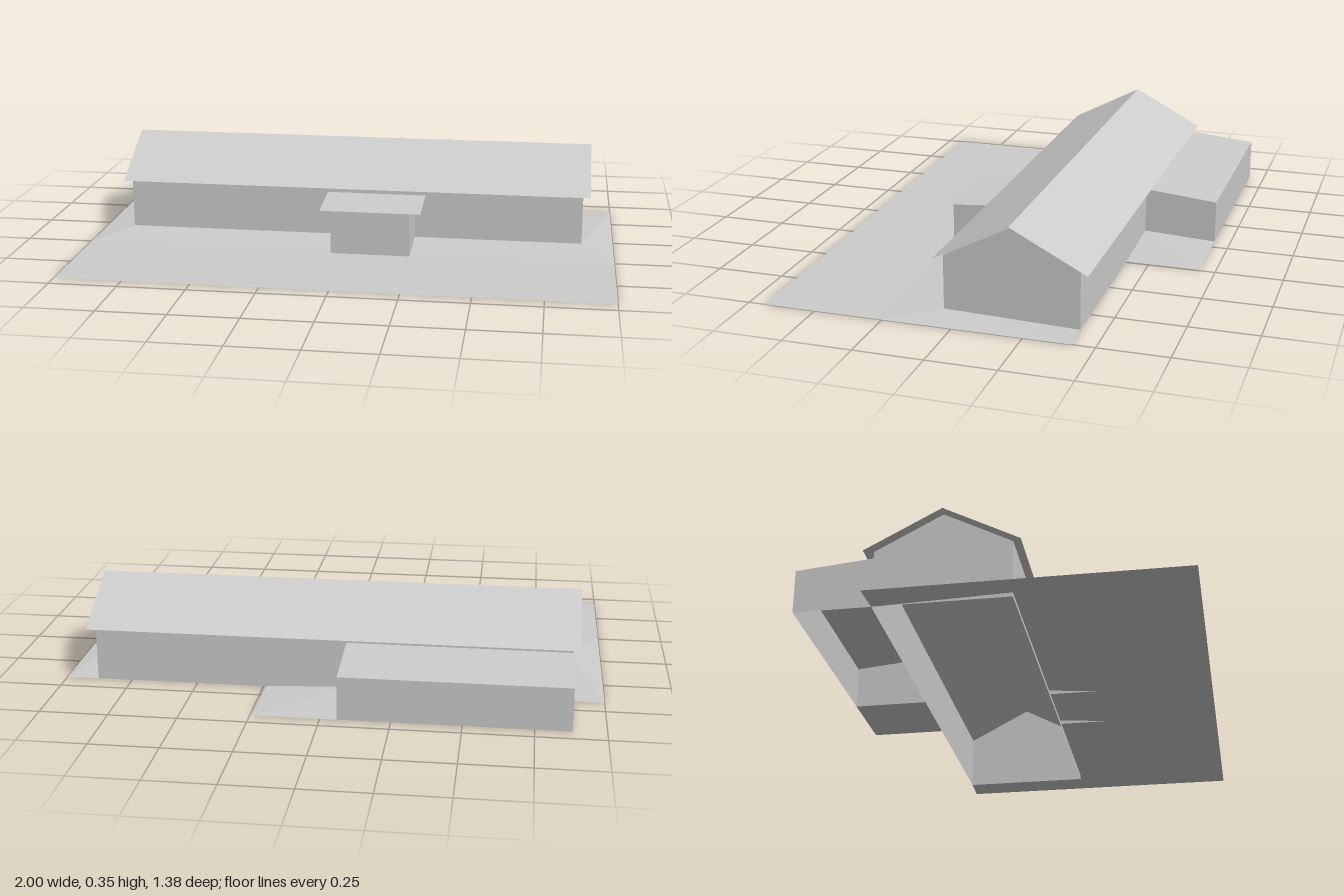
import * as THREE from 'three';

const stone = new THREE.MeshStandardMaterial({ color: 0xcccccc, side: THREE.DoubleSide });
stone.name = 'pale grey';

// Flat mesh from convex faces, each a list of [x, y, z] corners in counter-clockwise order
function faces(name, polygons) {
  const pos = [];
  for (const p of polygons)
    for (let i = 1; i < p.length - 1; i++) pos.push(...p[0], ...p[i], ...p[i + 1]);
  const geo = new THREE.BufferGeometry();
  geo.setAttribute('position', new THREE.Float32BufferAttribute(pos, 3));
  geo.computeVertexNormals();
  const mesh = new THREE.Mesh(geo, stone);
  mesh.name = name;
  return mesh;
}

// Upright wall facing away from the line's left, running from a to b at base y = 0
const wall = (ax, az, bx, bz, ha, hb = ha) =>
  [[ax, 0, az], [bx, 0, bz], [bx, hb, bz], [ax, ha, az]];

// Rectangular sheet sloping from (z0, y0) at the front to (z1, y1) at the back
const slope = (x0, x1, z0, y0, z1, y1) =>
  [[x0, y0, z0], [x1, y0, z0], [x1, y1, z1], [x0, y1, z1]];

export function createModel() {
  const model = new THREE.Group();
  model.name = 'longHouse';

  const W = 0.88, front = 0.07, back = -0.415, ridge = -0.173;
  const eave = 0.211, rise = 0.015;

  // Open-bottomed main building with gabled ends
  const gable = (x) => [[x, 0, front], [x, 0, back], [x, eave, back], [x, 0.338, ridge], [x, eave, front]];
  model.add(faces('mainWalls', [
    wall(-W, front, W, front, eave),
    wall(W, back, -W, back, eave),
    gable(W),
    gable(-W).reverse(),
  ]));

  // Thin overhanging roof
  model.add(faces('mainRoof', [
    slope(-0.907, 0.907, 0.1, 0.205, ridge, 0.348),
    slope(-0.907, 0.907, ridge, 0.348, -0.447, 0.205),
  ]));

  // Rear annex with a lean-to roof
  const aL = -W, aR = -0.06, rear = -0.69;
  model.add(faces('annexWalls', [
    wall(aR, back, aR, rear, 0.186, 0.16),
    wall(aR, rear, aL, rear, 0.16),
    wall(aL, rear, aL, back, 0.16, 0.186),
  ]));
  model.add(faces('annexRoof', [slope(aL, aR, back, 0.186, rear, 0.16)]));

  // Entrance porch and its canopy
  const pL = -0.06, pR = 0.24, pF = 0.27;
  model.add(faces('porchWalls', [
    wall(pL, pF, pR, pF, 0.166),
    wall(pR, pF, pR, front, 0.166),
    wall(pL, front, pL, pF, 0.166),
  ]));
  model.add(faces('porchCanopy', [slope(-0.1, 0.28, 0.277, 0.167, front, 0.183)]));

  // Terrace beside the annex, falling away from its inner corner
  model.add(faces('terrace', [
    [[aR, rise, back], [pR, 0, back], [pR, 0, rear]],
    [[aR, rise, back], [pR, 0, rear], [aR, 0, rear]],
  ]));

  // Ground: level at the front, banked up to the front wall, open under the house
  const ground = [
    slope(-1, 1, 0.69, 0, 0.27, 0),
    [[-1, 0, 0.27], [1, 0, 0.27], [W, rise, front], [-W, rise, front]],
  ];
  for (const s of [1, -1]) {
    const tris = [
      [[s * W, rise, front], [s, 0, 0.27], [s, 0, -0.42]],
      [[s * W, rise, front], [s, 0, -0.42], [s * W, 0, back]],
    ];
    ground.push(...tris.map((t) => (s > 0 ? t : t.reverse())));
  }
  model.add(faces('ground', ground));

  return model;
}
